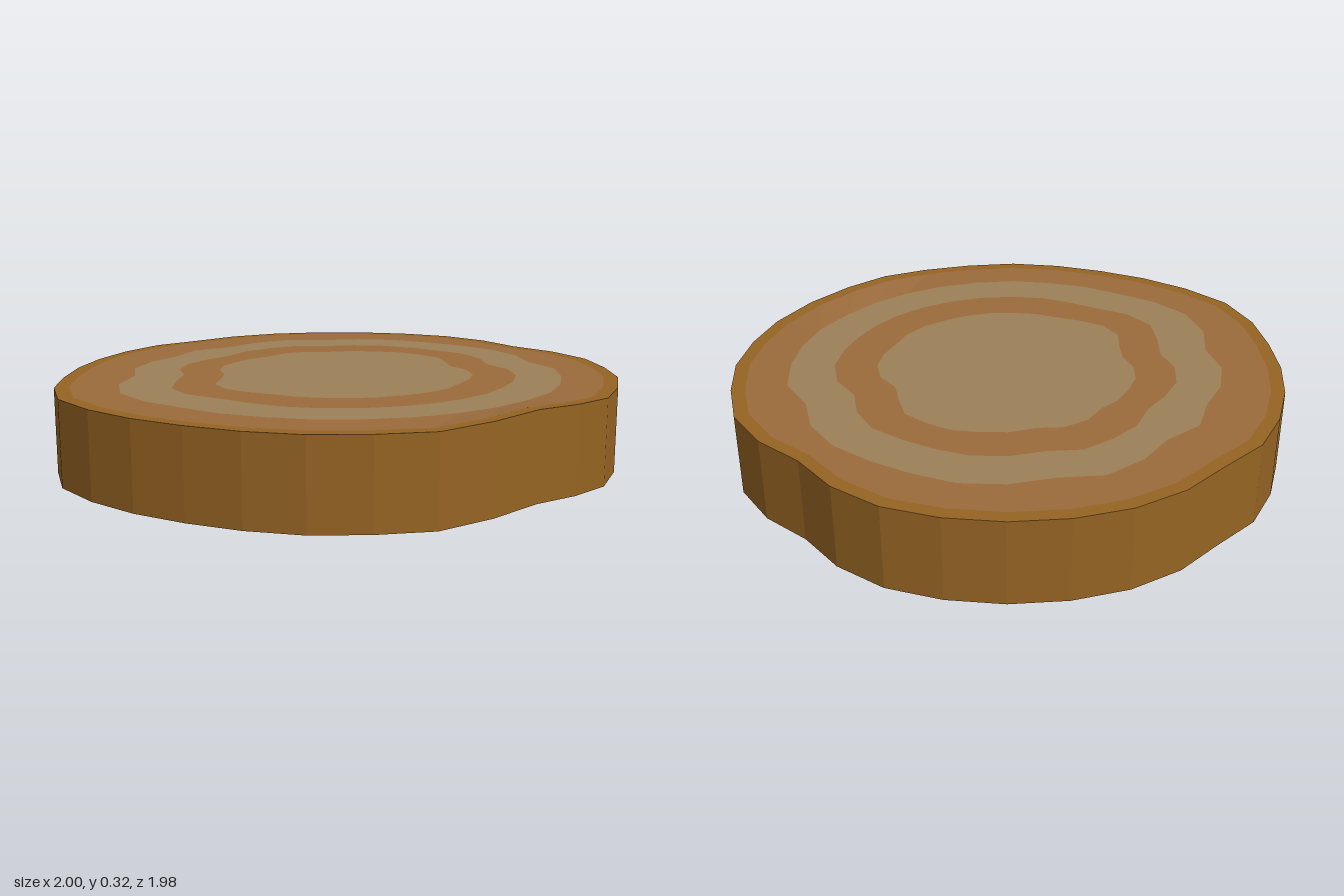
import * as THREE from 'three';

const SIDES = 32;
const HEIGHT = 0.3;

// Radii of the growth rings, clockwise from the back as seen from above
const BARK = [0.99, 0.99, 0.99, 0.99, 0.97, 0.935, 0.975, 1, 0.995, 1, 0.995, 0.995, 0.975, 0.957, 0.977, 0.99,
  0.985, 0.99, 0.985, 0.985, 1, 1.02, 1.04, 1.02, 0.99, 0.98, 0.977, 0.98, 0.983, 0.96, 0.98, 0.99];
const OUTER = [0.765, 0.79, 0.8, 0.79, 0.79, 0.8, 0.79, 0.755, 0.8, 0.8, 0.8, 0.8, 0.79, 0.79, 0.79, 0.79,
  0.79, 0.795, 0.79, 0.795, 0.795, 0.82, 0.83, 0.8, 0.74, 0.765, 0.755, 0.73, 0.76, 0.73, 0.77, 0.795];
const MIDDLE = [0.605, 0.625, 0.635, 0.63, 0.63, 0.64, 0.62, 0.585, 0.625, 0.64, 0.635, 0.63, 0.63, 0.63, 0.63, 0.63,
  0.63, 0.63, 0.63, 0.62, 0.62, 0.65, 0.65, 0.6, 0.565, 0.595, 0.6, 0.58, 0.565, 0.6, 0.615, 0.63];
const HEART = [0.455, 0.475, 0.485, 0.5, 0.5, 0.5, 0.46, 0.435, 0.47, 0.485, 0.48, 0.47, 0.48, 0.48, 0.475, 0.475,
  0.475, 0.47, 0.47, 0.465, 0.48, 0.5, 0.49, 0.44, 0.42, 0.445, 0.455, 0.45, 0.45, 0.44, 0.47, 0.475];
const RIM = BARK.map((r) => r * 0.95);
const CENTRE = BARK.map(() => 0);

// The rim is warped upward slightly around one spot
const LIFT = { 12: 0.011, 13: 0.02, 14: 0.012 };

// Closed loop of points at height y
function loop(radii, y, warp = 0) {
  return radii.map((r, i) => {
    const a = (i / SIDES) * Math.PI * 2;
    return [r * Math.sin(a), y + warp * (LIFT[i] || 0), -r * Math.cos(a)];
  });
}

// Strip of faces joining two loops; a loop of radius 0 closes it as a fan
function band(name, material, a, b) {
  const isPoint = (l) => Math.hypot(l[0][0], l[0][2]) < 1e-6;
  const pos = [];
  for (let i = 0; i < SIDES; i++) {
    const j = (i + 1) % SIDES;
    if (!isPoint(a)) pos.push(...a[i], ...b[i], ...a[j]);
    if (!isPoint(b)) pos.push(...a[j], ...b[i], ...b[j]);
  }
  const geo = new THREE.BufferGeometry();
  geo.setAttribute('position', new THREE.Float32BufferAttribute(pos, 3));
  geo.computeVertexNormals();
  const mesh = new THREE.Mesh(geo, material);
  mesh.name = name;
  return mesh;
}

export function createModel() {
  const paint = (color) => new THREE.MeshStandardMaterial({ color, flatShading: true });
  const bark = paint(0x966423);
  const wood = paint(0x9c6c3c);
  const pale = paint(0x9c8058);

  const model = new THREE.Group();
  model.name = 'logSlice';

  // Underside, from the centre outward
  const b = [loop(CENTRE, 0), loop(MIDDLE, 0), loop(OUTER, 0), loop(RIM, 0, 0.9), loop(BARK, 0, 1)];
  model.add(
    band('bottomHeartwood', wood, b[0], b[1]),
    band('bottomPaleRing', pale, b[1], b[2]),
    band('bottomOuterRing', wood, b[2], b[3]),
    band('bottomBarkRim', bark, b[3], b[4]),
  );

  // Upright bark wall
  const top = (radii, warp) => loop(radii, HEIGHT, warp);
  const t = [top(BARK, 1), top(RIM, 0.9), top(OUTER), top(MIDDLE), top(HEART), top(CENTRE)];
  model.add(band('barkWall', bark, b[4], t[0]));

  // Top face, from the bark inward
  model.add(
    band('topBarkRim', bark, t[0], t[1]),
    band('topOuterRing', wood, t[1], t[2]),
    band('topPaleRing', pale, t[2], t[3]),
    band('topInnerRing', wood, t[3], t[4]),
    band('topHeartwood', pale, t[4], t[5]),
  );
  return model;
}
